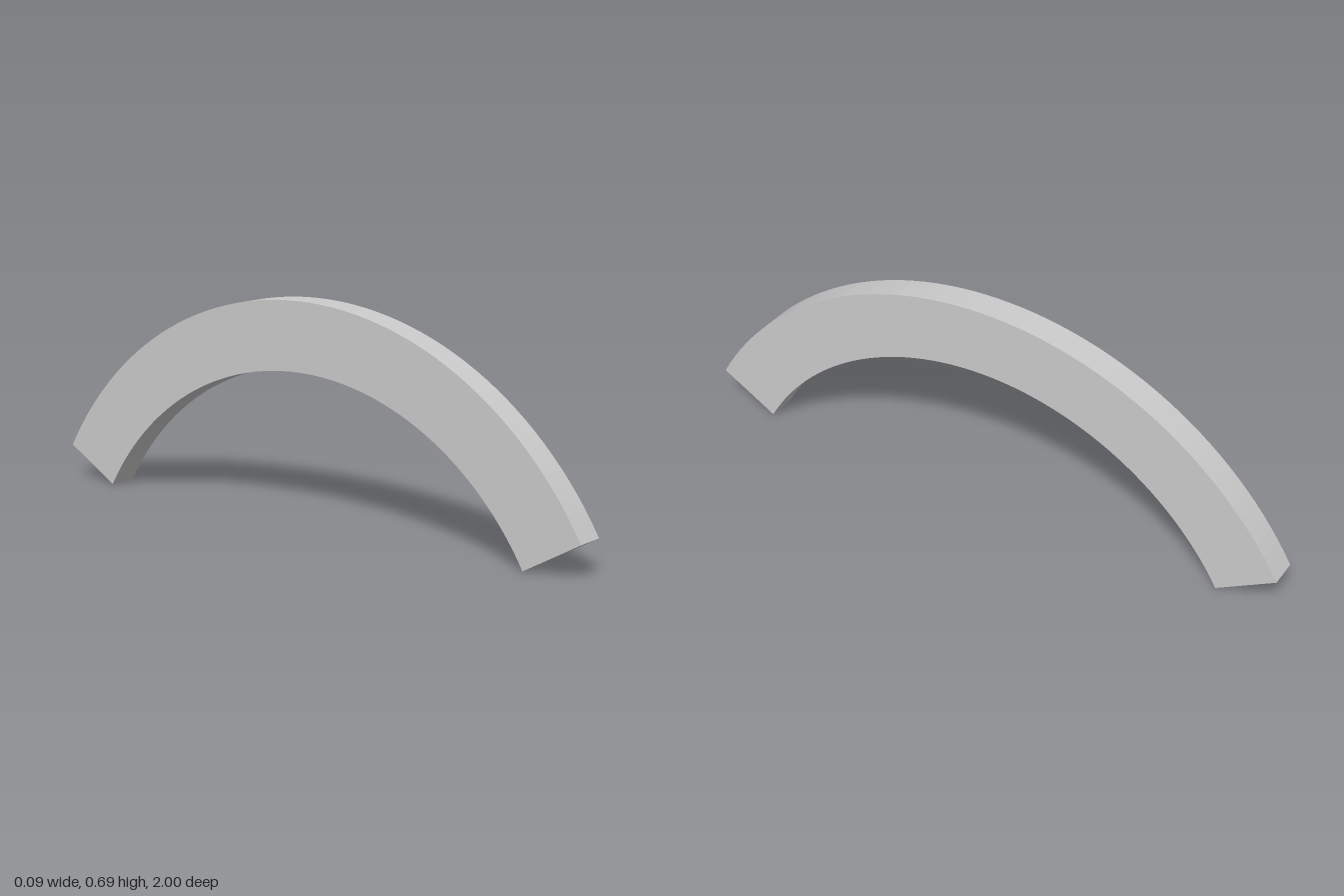
import * as THREE from 'three';

export function createModel() {
  const group = new THREE.Group();
  group.name = 'archSegment';

  // 120 degree band, symmetric about the vertical, with radially cut ends
  const outer = 1 / Math.sin(Math.PI / 3);
  const inner = 0.938;
  const width = 0.093;
  const start = Math.PI / 6;
  const end = Math.PI - start;

  const profile = new THREE.Shape();
  profile.absarc(0, 0, outer, start, end, false);
  profile.absarc(0, 0, inner, end, start, true);

  const geometry = new THREE.ExtrudeGeometry(profile, {
    depth: width,
    bevelEnabled: false,
    curveSegments: 28,
  });
  // Centre the thickness, turn the span along z, and rest the inner ends on the ground
  geometry.translate(0, -inner * Math.sin(start), -width / 2);
  geometry.rotateY(Math.PI / 2);

  const arch = new THREE.Mesh(
    geometry,
    new THREE.MeshStandardMaterial({ color: 0xcccccc, flatShading: true })
  );
  arch.name = 'curvedArch';
  group.add(arch);
  return group;
}
